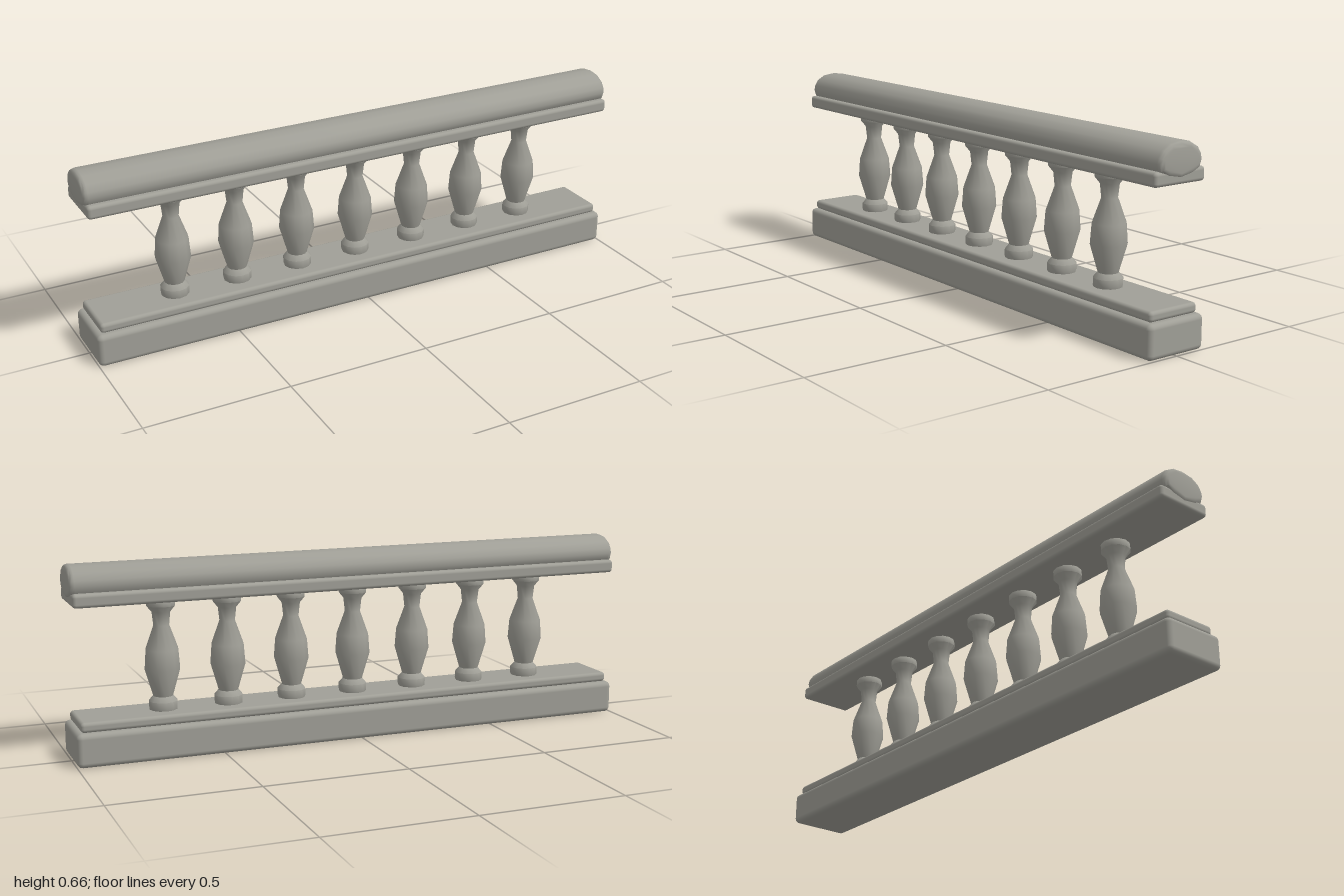
import * as THREE from 'three';
import { toCreasedNormals } from 'three/addons/utils/BufferGeometryUtils.js';
import { RoundedBoxGeometry } from 'three/addons/geometries/RoundedBoxGeometry.js';

export function createModel() {
  const group = new THREE.Group();
  const stone = new THREE.MeshStandardMaterial({ color: 0xa09f97 });
  stone.name = 'weathered stone';

  const add = (name, geometry, x = 0, y = 0) => {
    const mesh = new THREE.Mesh(geometry, stone);
    mesh.name = name;
    mesh.position.set(x, y, 0);
    group.add(mesh);
    return mesh;
  };
  const slab = (name, length, bottom, top, depth, radius) =>
    add(name, new RoundedBoxGeometry(length, top - bottom, depth, 3, radius), 0, (bottom + top) / 2);

  // Long slabs
  slab('base', 2, 0, 0.115, 0.226, 0.018);
  slab('plinth', 1.966, 0.115, 0.149, 0.194, 0.012);
  slab('railBed', 1.99, 0.527, 0.573, 0.205, 0.012);

  // Oval handrail: half section mirrored, extruded along x with softened ends
  const half = [[0.04, 0.653], [0.07, 0.636], [0.084, 0.614], [0.088, 0.596], [0.08, 0.571], [0.05, 0.555]];
  const section = [[0, 0.658], ...half, [0, 0.545], ...half.map(([z, y]) => [-z, y]).reverse()];
  const bevel = 0.016;
  const rail = new THREE.ExtrudeGeometry(
    new THREE.Shape(section.map(([z, y]) => new THREE.Vector2(z, y))),
    { depth: 2 - 2 * bevel, bevelThickness: bevel, bevelSize: bevel, bevelOffset: -bevel, bevelSegments: 3 });
  rail.translate(0, 0, bevel - 1);
  rail.rotateY(Math.PI / 2);
  add('handrail', toCreasedNormals(rail, 0.8));

  // Turned balusters
  const profile = [
    [0, 0.147], [0.047, 0.147], [0.049, 0.155], [0.049, 0.178], [0.034, 0.195],
    [0.061, 0.288], [0.056, 0.355], [0.027, 0.436], [0.032, 0.482],
    [0.049, 0.503], [0.049, 0.522], [0.046, 0.529], [0, 0.529],
  ].map(([r, y]) => new THREE.Vector2(r, y));
  const baluster = toCreasedNormals(new THREE.LatheGeometry(profile, 12), 0.8);
  for (let i = -3; i <= 3; i++) add(`baluster${i + 4}`, baluster, i * 0.2287 - 0.002);

  return group;
}
